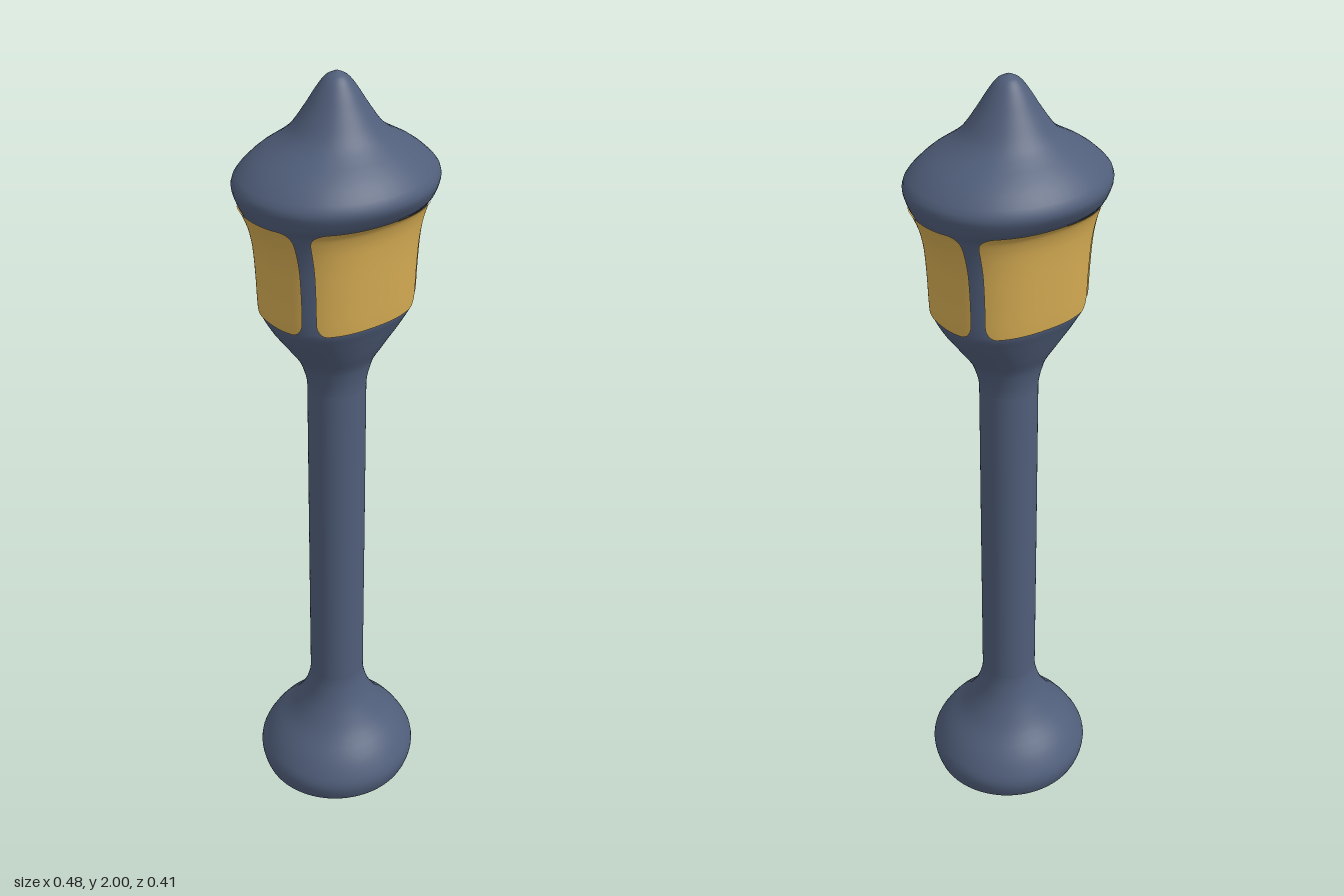
import * as THREE from 'three';

// Outline stations from ground to tip: height, half width x, half depth z, squareness
const STATIONS = [
  [0, 0.001, 0.001, 2], [0.004, 0.1, 0.1, 2], [0.012, 0.155, 0.15, 2], [0.035, 0.2, 0.195, 2],
  [0.083, 0.21, 0.207, 2], [0.14, 0.185, 0.183, 2], [0.215, 0.122, 0.12, 2], [0.29, 0.083, 0.081, 2],
  [0.35, 0.071, 0.069, 2], [0.8, 0.071, 0.069, 2], [1.24, 0.071, 0.068, 2], [1.305, 0.087, 0.078, 2],
  [1.36, 0.122, 0.103, 2.1], [1.42, 0.163, 0.129, 2.3], [1.46, 0.179, 0.144, 2.4], [1.54, 0.182, 0.147, 2.4],
  [1.61, 0.187, 0.149, 2.4], [1.66, 0.197, 0.152, 2.4], [1.7, 0.213, 0.162, 2.3], [1.728, 0.227, 0.188, 2.15],
  [1.765, 0.239, 0.207, 2], [1.81, 0.202, 0.178, 2], [1.87, 0.11, 0.105, 2], [1.92, 0.072, 0.07, 2],
  [1.965, 0.043, 0.042, 2], [1.988, 0.024, 0.024, 2], [2, 0.001, 0.001, 2],
];

// Smooth interpolation of the outline at any height (monotone cubic)
function sizeAt(y) {
  const S = STATIONS, last = S.length - 1;
  let i = 0;
  while (i < last - 1 && y > S[i + 1][0]) i++;
  const h = S[i + 1][0] - S[i][0];
  const t = THREE.MathUtils.clamp((y - S[i][0]) / h, 0, 1);
  const slope = (j, c) => {
    if (j <= 0 || j >= last) return null;
    const a = (S[j][c] - S[j - 1][c]) / (S[j][0] - S[j - 1][0]);
    const b = (S[j + 1][c] - S[j][c]) / (S[j + 1][0] - S[j][0]);
    return a * b <= 0 ? 0 : (2 * a * b) / (a + b);
  };
  return [1, 2, 3].map((c) => {
    const p = S[i][c], q = S[i + 1][c], d = (q - p) / h;
    const m0 = (slope(i, c) ?? d) * h, m1 = (slope(i + 1, c) ?? d) * h;
    const t2 = t * t, t3 = t2 * t;
    return (2 * t3 - 3 * t2 + 1) * p + (t3 - 2 * t2 + t) * m0 + (3 * t2 - 2 * t3) * q + (t3 - t2) * m1;
  });
}

// Point on the body; angle 0 faces the front, offset pushes outward
function pointAt(angle, y, offset = 0) {
  const [rx, rz, n] = sizeAt(y);
  const bend = (v) => Math.sign(v) * Math.pow(Math.abs(v), 2 / n);
  return [(rx + offset) * bend(Math.sin(angle)), y, (rz + offset) * bend(Math.cos(angle))];
}

// Surface grid from a rule f(u, v); closed grids share their seam
function gridSurface(cols, rows, closed, f) {
  const pos = [], index = [], w = closed ? cols : cols + 1;
  for (let r = 0; r <= rows; r++)
    for (let c = 0; c < w; c++) pos.push(...f(c / cols, r / rows, r));
  for (let r = 0; r < rows; r++)
    for (let c = 0; c < cols; c++) {
      const a = r * w + c, b = r * w + ((c + 1) % w), d = a + w, e = b + w;
      index.push(a, b, e, a, e, d);
    }
  const g = new THREE.BufferGeometry();
  g.setAttribute('position', new THREE.Float32BufferAttribute(pos, 3));
  g.setIndex(index);
  g.computeVertexNormals();
  return g;
}

// Section of the body between two stations
function bodySection(from, to) {
  const heights = [];
  for (let i = from; i < to; i++)
    for (let k = 0; k < 4; k++)
      heights.push(THREE.MathUtils.lerp(STATIONS[i][0], STATIONS[i + 1][0], k / 4));
  heights.push(STATIONS[to][0]);
  return gridSurface(64, heights.length - 1, true, (u, v, r) => pointAt(u * Math.PI * 2, heights[r]));
}

// Glass panel following the lantern, with rounded corners
function glassPane(centre, half) {
  const y0 = 1.457, y1 = 1.72, radius = 0.035, curve = 0.18;
  return gridSurface(24, 32, false, (u, v) => {
    const y = THREE.MathUtils.lerp(y0, y1, (1 - Math.cos(v * Math.PI)) / 2);
    const edge = Math.max(0, 1 - Math.min(y - y0, y1 - y) / radius);
    const width = half - curve * (1 - Math.sqrt(Math.max(0, 1 - edge * edge)));
    return pointAt(centre + (u * 2 - 1) * width, y, 0.003);
  });
}

export function createModel() {
  const model = new THREE.Group();
  model.name = 'streetLamp';
  const metal = new THREE.MeshStandardMaterial({ color: 0x505e7a });
  metal.name = 'slateBlueMetal';
  const glass = new THREE.MeshStandardMaterial({ color: 0xd4ab52, side: THREE.DoubleSide });
  glass.name = 'amberGlass';

  const add = (name, geometry, material) => {
    const mesh = new THREE.Mesh(geometry, material);
    mesh.name = name;
    model.add(mesh);
  };

  // Metal body from the ground up, joined where the outline is smooth
  add('base', bodySection(0, 8), metal);
  add('post', bodySection(8, 10), metal);
  add('lanternFrame', bodySection(10, 19), metal);
  add('roof', bodySection(19, STATIONS.length - 1), metal);

  // Four glass panes: wide front and back, narrower sides
  ['frontPane', 'leftPane', 'backPane', 'rightPane'].forEach((name, i) =>
    add(name, glassPane((i * Math.PI) / 2, i % 2 ? 0.57 : 0.785), glass));

  return model;
}
